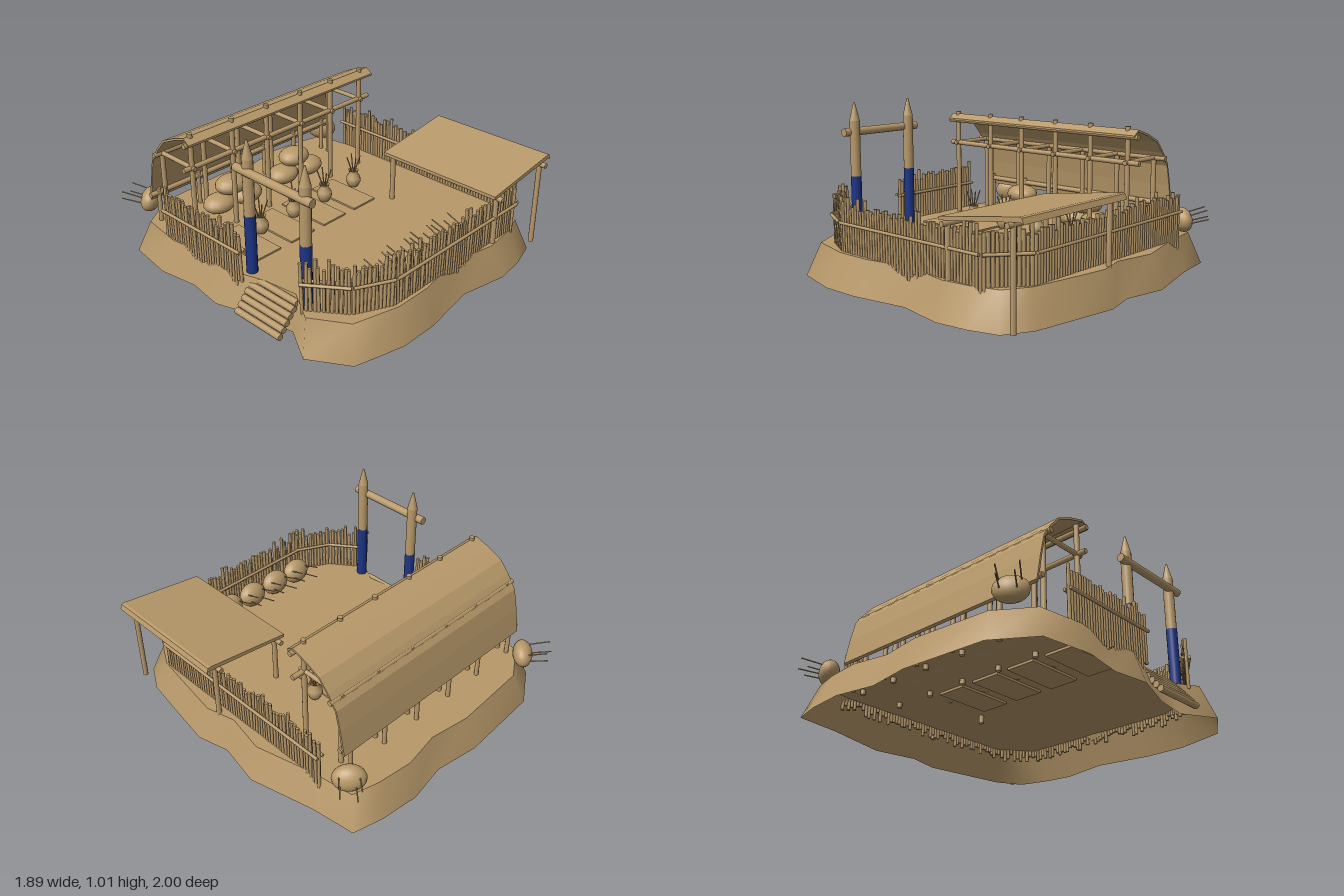
import * as THREE from 'three';
import { mergeGeometries } from 'three/addons/utils/BufferGeometryUtils.js';

const tan = new THREE.MeshStandardMaterial({ color: 0xb8996a, side: THREE.DoubleSide });
tan.name = 'sandy tan';
const blue = new THREE.MeshStandardMaterial({ color: 0x1c3484 });
blue.name = 'deep blue';

let seed = 7;
const rand = () => (seed = (seed * 16807) % 2147483647) / 2147483647;
const V = (x, y, z) => new THREE.Vector3(x, y, z);

// round pole between two points
function rod(a, b, r, sides = 10, rTop = r) {
  const d = b.clone().sub(a);
  const g = new THREE.CylinderGeometry(rTop, r, d.length(), sides);
  g.applyQuaternion(new THREE.Quaternion().setFromUnitVectors(V(0, 1, 0), d.normalize()));
  const mid = a.clone().add(b).multiplyScalar(0.5);
  return g.translate(mid.x, mid.y, mid.z);
}
const post = (x, z, y0, y1, r, sides) => rod(V(x, y0, z), V(x, y1, z), r, sides);

function add(parent, name, geos, mat = tan) {
  const mesh = new THREE.Mesh(Array.isArray(geos) ? mergeGeometries(geos) : geos, mat);
  mesh.name = name;
  parent.add(mesh);
  return mesh;
}

// earth mound: flat top with a sloping open skirt
function mound(parent) {
  const pts = [
    [-0.68, -0.95], [-0.15, -0.985], [0.13, -0.945], [0.38, -0.99], [0.62, -0.965], [0.8, -0.92],
    [0.84, -0.65], [0.94, -0.25], [0.89, 0.02], [0.94, 0.22], [0.9, 0.5], [0.86, 0.76], [0.77, 0.92],
    [0.6, 0.97], [0.4, 0.995], [0.1, 0.935], [-0.25, 0.99], [-0.5, 0.99], [-0.8, 0.91], [-0.94, 0.68],
    [-0.82, 0.48], [-0.85, 0.25], [-0.94, -0.02], [-0.91, -0.25], [-0.95, -0.5], [-0.91, -0.8]];
  const s = 0.925;
  const top = new THREE.ShapeGeometry(new THREE.Shape(pts.map(([x, z]) => new THREE.Vector2(x * s, -z * s))));
  add(parent, 'moundTop', top.rotateX(-Math.PI / 2).translate(0, 0.2, 0));
  const pos = [], idx = [], n = pts.length;
  pts.forEach(([x, z], i) => {
    pos.push(x, 0, z, x * s, 0.2, z * s);
    const a = 2 * i, b = 2 * ((i + 1) % n);
    idx.push(a, a + 1, b, b, a + 1, b + 1);
  });
  const g = new THREE.BufferGeometry();
  g.setAttribute('position', new THREE.Float32BufferAttribute(pos, 3));
  g.setIndex(idx);
  g.computeVertexNormals();
  add(parent, 'moundSkirt', g);
}

// palisade along a path: uneven stakes with a rail on both sides
function fence(parent, name, path) {
  const stakes = [], rails = [];
  for (let i = 0; i + 1 < path.length; i++) {
    const a = V(path[i][0], 0, path[i][1]), b = V(path[i + 1][0], 0, path[i + 1][1]);
    const dir = b.clone().sub(a), len = dir.length(), n = Math.round(len / 0.022);
    dir.normalize();
    const side = V(-dir.z, 0, dir.x).multiplyScalar(0.02);
    for (let k = 0; k < n; k++) {
      const p = a.clone().addScaledVector(dir, (k + 0.5) * len / n);
      const tall = rand() < 0.1, h = tall ? 0.52 : 0.45 + rand() * 0.045, j = (rand() - 0.5) * 0.012;
      stakes.push(rod(V(p.x, 0.12 + rand() * 0.06, p.z), V(p.x + j, h, p.z + j), 0.0105, 6));
    }
    for (const f of [-1, 1]) {
      const o = side.clone().multiplyScalar(f).setY(0.37);
      rails.push(rod(a.clone().add(o), b.clone().add(o), 0.01, 8));
    }
  }
  add(parent, name + 'Stakes', stakes);
  add(parent, name + 'Rails', rails);
}

// gate with pointed posts, blue lower wraps and a crossbeam
function gate(parent) {
  const x = -0.77;
  for (const z of [0.11, 0.54]) {
    add(parent, 'gatePost', [post(x, z, 0.55, 0.9, 0.032, 14), rod(V(x, 0.9, z), V(x, 1.01, z), 0.032, 14, 0.005)]);
    add(parent, 'gatePostBlueBase', post(x, z, 0.18, 0.56, 0.033, 14), blue);
  }
  add(parent, 'gateCrossbeam', rod(V(-0.788, 0.83, 0.03), V(-0.788, 0.83, 0.61), 0.025, 12));
  const logs = [];
  for (let i = 0; i < 6; i++) {
    const lx = -0.92 + i * 0.026, y = 0.025 + i * 0.031;
    logs.push(rod(V(lx, y, 0.14), V(lx, y, 0.49), 0.02, 10));
  }
  add(parent, 'logSteps', logs);
}

// long shelter with a curved roof on a pole frame
function shelter(parent) {
  const prof = [[-0.315, 0.847], [-0.36, 0.878], [-0.46, 0.845], [-0.557, 0.8], [-0.62, 0.73], [-0.68, 0.645], [-0.71, 0.52], [-0.74, 0.36]];
  const inner = prof.map(([z, y], i) => [z + 0.011 * i / 7, y - 0.012]).reverse();
  const shape = new THREE.Shape(prof.concat(inner).map(([z, y]) => new THREE.Vector2(-z, y)));
  const roof = new THREE.ExtrudeGeometry(shape, { depth: 1.51, bevelEnabled: false });
  add(parent, 'shelterRoof', roof.rotateY(Math.PI / 2).translate(-0.825, 0, 0));
  const poles = [], beams = [], xs = [-0.78, -0.48, -0.21, 0.07, 0.34, 0.61];
  for (const x of xs) {
    poles.push(post(x, -0.36, 0.17, 0.893, 0.016), post(x, -0.64, 0.17, 0.69, 0.016), post(x, -0.71, 0.17, 0.42, 0.014));
    beams.push(rod(V(x, 0.68, -0.33), V(x, 0.68, -0.655), 0.014));
  }
  for (const [y, z] of [[0.835, -0.345], [0.68, -0.36], [0.68, -0.64], [0.39, -0.712]])
    beams.push(rod(V(-0.84, y, z), V(0.695, y, z), 0.016));
  add(parent, 'shelterPoles', poles);
  add(parent, 'shelterBeams', beams);
}

// sloping canopy over the front corner
function canopy(parent) {
  const p = [[0.355, 0.508], [0.355, 0.528], [0.895, 0.602], [0.91, 0.598], [0.922, 0.567], [0.9, 0.575]];
  const g = new THREE.ExtrudeGeometry(new THREE.Shape(p.map(q => new THREE.Vector2(...q))), { depth: 0.83, bevelEnabled: false });
  add(parent, 'canopyRoof', g.translate(0, 0, 0.09));
  add(parent, 'canopyPoles', [
    post(0.84, 0.9, 0.015, 0.57, 0.016), post(0.84, 0.13, 0.15, 0.57, 0.016),
    post(0.4, 0.9, 0.15, 0.5, 0.016), post(0.4, 0.13, 0.15, 0.5, 0.016)]);
  add(parent, 'canopyBeams', [
    rod(V(0.84, 0.555, 0.065), V(0.84, 0.555, 0.945), 0.016), rod(V(0.4, 0.497, 0.065), V(0.4, 0.497, 0.945), 0.016)]);
}

// rounded bundle lying on its side, sticks pointing out along its -z
function bundle(parent, x, y, z, turn, tilt) {
  const grp = new THREE.Group();
  grp.name = 'stickBundle';
  add(grp, 'bundleBody', new THREE.SphereGeometry(1, 18, 12).scale(0.097, 0.078, 0.06));
  const sticks = [[-0.055, 0.02], [0.055, 0.025], [-0.035, -0.03], [0.05, -0.025]]
    .map(([a, b], i) => rod(V(a, b, -0.02), V(a * 1.1, b * 1.2, -0.17 + (i % 2) * 0.02), 0.004, 6));
  add(grp, 'bundleSticks', sticks);
  grp.position.set(x, y, z);
  grp.rotation.set(tilt, turn, 0, 'YXZ');
  parent.add(grp);
}

export function createModel() {
  const model = new THREE.Group();
  model.name = 'palisadeCamp';
  mound(model);
  fence(model, 'leftFence', [[-0.86, -0.55], [-0.855, 0.13]]);
  fence(model, 'frontFence', [[-0.84, 0.56], [-0.68, 0.78], [-0.47, 0.885], [0.62, 0.885], [0.785, 0.68], [0.785, -0.66]]);
  gate(model);
  shelter(model);
  canopy(model);

  // sleeping mats
  for (const x of [-0.6, -0.325, -0.055, 0.215])
    add(model, 'mat', new THREE.BoxGeometry(0.19, 0.025, 0.37).translate(x, 0.198, -0.125));

  // small pots holding sticks
  const pot = [[0, 0.2], [0.03, 0.2], [0.048, 0.235], [0.045, 0.265], [0.025, 0.295], [0.033, 0.315]].map(q => new THREE.Vector2(...q));
  for (const x of [-0.455, -0.185, 0.085, 0.355]) {
    add(model, 'pot', new THREE.LatheGeometry(pot, 14).translate(x, 0, -0.165));
    const sticks = [0, 1, 2, 3].map(i => {
      const c = Math.cos(i * 1.57 + 0.5), s = Math.sin(i * 1.57 + 0.5);
      return rod(V(x - c * 0.01, 0.24, -0.165 - s * 0.01), V(x + c * 0.045, 0.41, -0.165 + s * 0.045), 0.004, 6);
    });
    add(model, 'potSticks', sticks);
  }

  // bundles along the front fence and at the back corners
  for (const x of [-0.37, -0.18, 0.02, 0.215]) bundle(model, x, 0.28, 0.79, 0, 0.3);
  bundle(model, -0.75, 0.285, -0.845, 0.62, 0.25);
  bundle(model, 0.72, 0.285, -0.81, -0.75, 0.25);

  // sack piles inside the shelter
  for (const x of [-0.36, 0.18])
    for (const [dx, y, dz] of [[-0.1, 0.255, 0], [0.1, 0.255, 0.02], [0, 0.35, 0]])
      add(model, 'sack', new THREE.SphereGeometry(1, 16, 10).scale(0.11, 0.06, 0.09).translate(x + dx, y, -0.54 + dz));
  return model;
}
